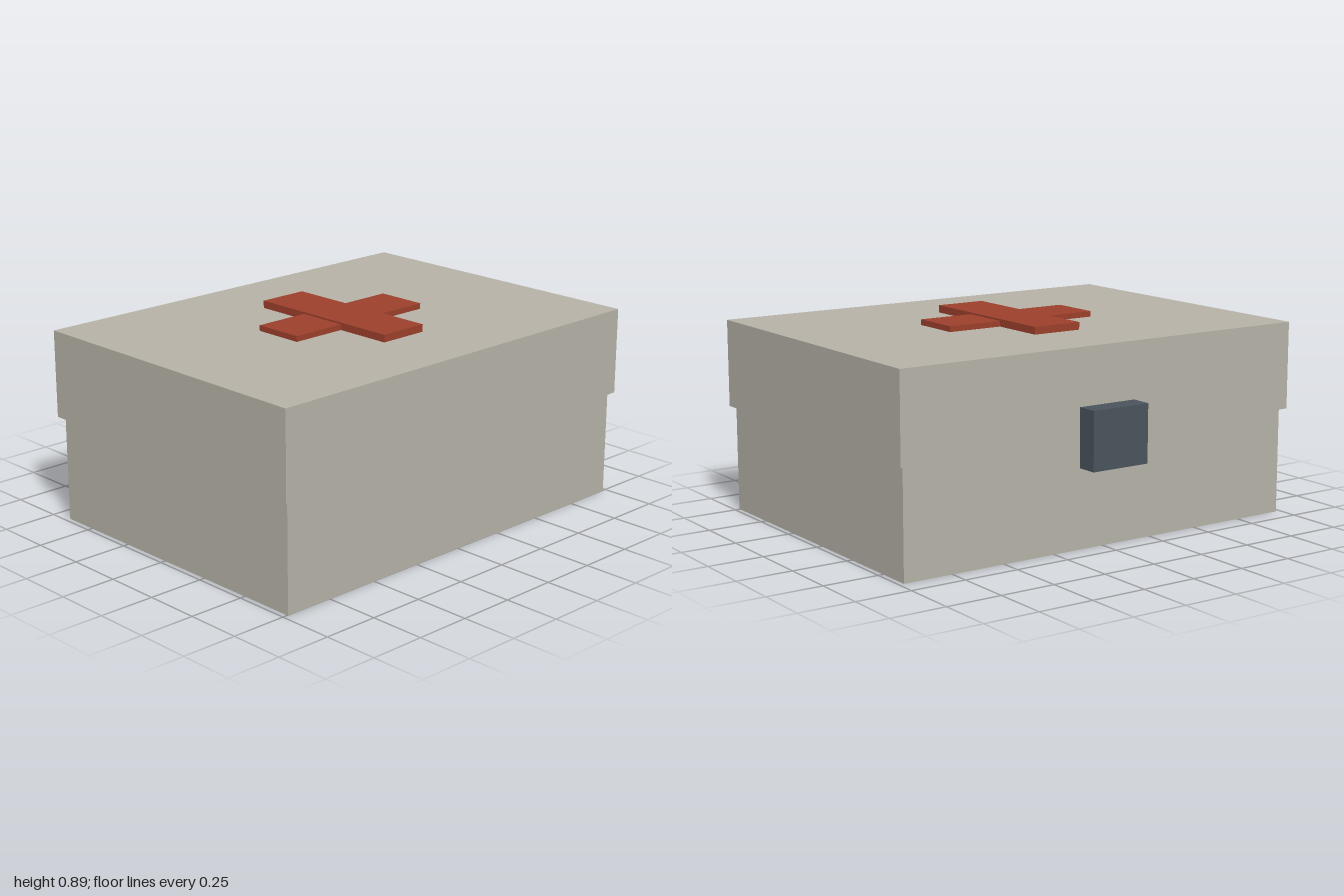
import * as THREE from 'three';

const material = (name, color) => {
  const m = new THREE.MeshStandardMaterial({ color });
  m.name = name;
  return m;
};

export function createModel() {
  const group = new THREE.Group();
  group.name = 'firstAidBox';

  const shell = material('warm grey', 0xb5b1a6);
  const red = material('brick red', 0x9c3f2b);
  const steel = material('dark slate', 0x4a545c);

  // Box given by its minimum and maximum on each axis
  const addBox = (name, mat, [x0, x1], [y0, y1], [z0, z1]) => {
    const mesh = new THREE.Mesh(new THREE.BoxGeometry(x1 - x0, y1 - y0, z1 - z0), mat);
    mesh.position.set((x0 + x1) / 2, (y0 + y1) / 2, (z0 + z1) / 2);
    mesh.name = name;
    group.add(mesh);
  };

  // Case: base with a slightly wider lid
  addBox('base', shell, [-0.977, 0.977], [0, 0.473], [-0.657, 0.755]);
  addBox('lid', shell, [-1, 1], [0.473, 0.861], [-0.681, 0.775]);

  // Raised cross on the lid, one bar a little taller than the other
  addBox('crossBarWide', red, [-0.373, 0.373], [0.861, 0.886], [-0.068, 0.163]);
  addBox('crossBarLong', red, [-0.116, 0.116], [0.861, 0.894], [-0.328, 0.422]);

  // Latch on the back
  addBox('latch', steel, [-0.14, 0.14], [0.356, 0.612], [-0.775, -0.681]);

  return group;
}
